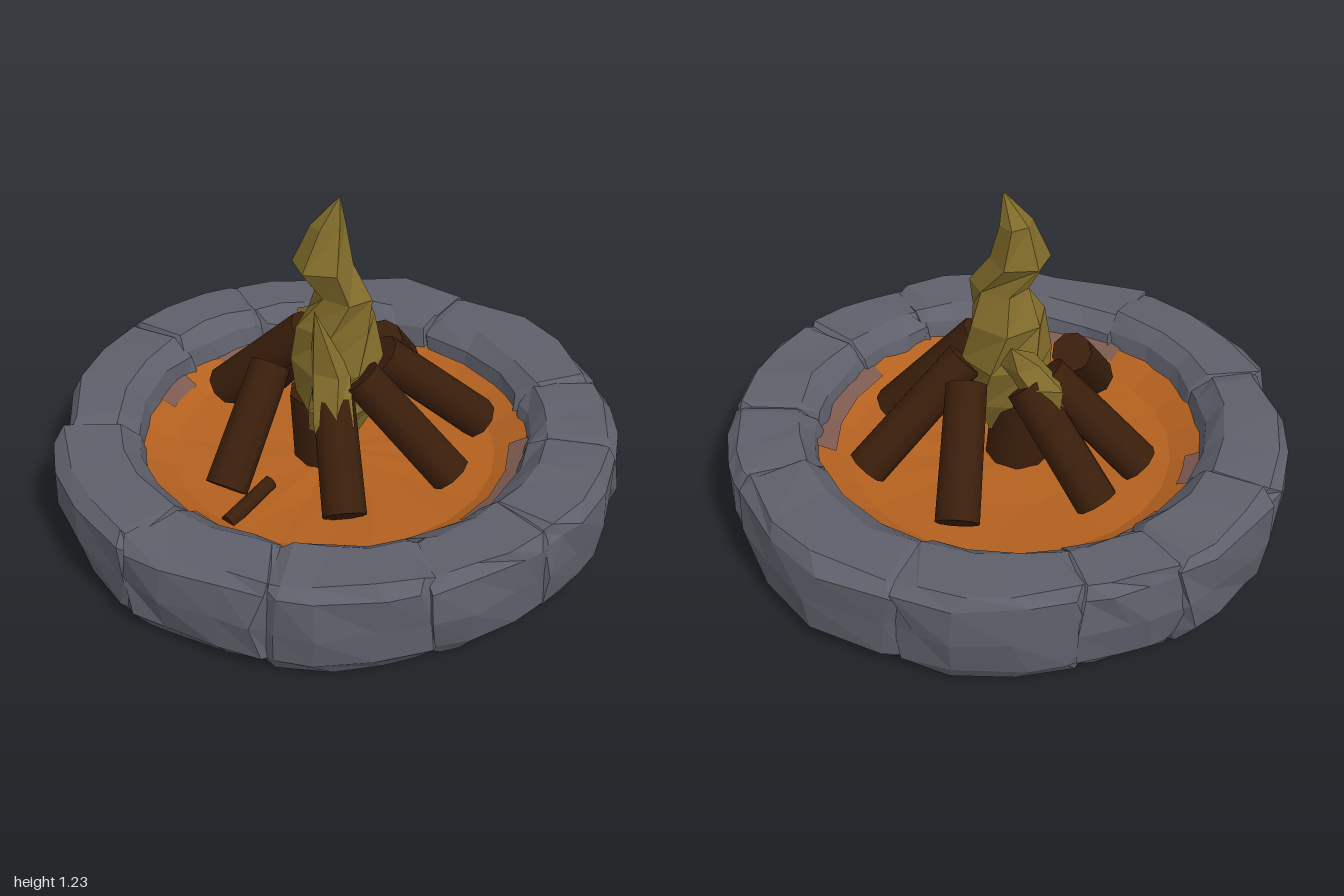
import * as THREE from 'three';

const material = (name, color) => Object.assign(new THREE.MeshStandardMaterial({ color, flatShading: true }), { name });

// Small seeded random number in -1..1
let seed = 7;
const rnd = () => {
  seed = (seed * 16807) % 2147483647;
  return (seed / 2147483647) * 2 - 1;
};

// Skin over closed loops of points (each loop counter-clockwise about the direction of travel), capped at both ends
function loft(loops) {
  const pos = [];
  const tri = (...pts) => pts.forEach((p) => pos.push(p.x, p.y, p.z));
  const n = loops[0].length;
  for (let s = 0; s < loops.length - 1; s++) {
    for (let k = 0; k < n; k++) {
      const a = loops[s][k], b = loops[s][(k + 1) % n];
      const c = loops[s + 1][k], d = loops[s + 1][(k + 1) % n];
      tri(a, b, d);
      tri(a, d, c);
    }
  }
  const cap = (loop, flip) => {
    const mid = loop.reduce((m, p) => m.add(p), new THREE.Vector3()).divideScalar(n);
    for (let k = 0; k < n; k++) {
      const a = loop[k], b = loop[(k + 1) % n];
      flip ? tri(mid, b, a) : tri(mid, a, b);
    }
  };
  cap(loops[0], true);
  cap(loops[loops.length - 1], false);
  const geo = new THREE.BufferGeometry();
  geo.setAttribute('position', new THREE.Float32BufferAttribute(pos, 3));
  geo.computeVertexNormals();
  return geo;
}

// Horizontal loop: [y, centre x, centre z, radius x, radius z]
function ring([y, cx, cz, rx, rz], sides, rough, turn = 0) {
  return Array.from({ length: sides }, (_, i) => {
    const a = (i / sides) * Math.PI * 2 + turn;
    const k = 1 + rnd() * rough;
    return new THREE.Vector3(cx + Math.cos(a) * rx * k, y + rnd() * rough * rx * 0.4, cz - Math.sin(a) * rz * k);
  });
}

// Outer radius of the stone circle: [degrees from +x towards +z, radius]
const OUTLINE = [[0, 1], [15, 0.99], [40, 0.98], [60, 1], [80, 0.98], [105, 1.01], [120, 0.99], [131, 1.01], [139, 1],
  [143, 0.95], [148, 0.98], [174, 1], [186, 1], [211, 0.99], [228, 0.96], [255, 1], [270, 0.98], [284, 1.02],
  [315, 1], [340, 1.01], [360, 1]];
function outerRadius(deg) {
  const d = ((deg % 360) + 360) % 360;
  const i = OUTLINE.findIndex((p) => p[0] > d);
  const [a0, r0] = OUTLINE[i - 1], [a1, r1] = OUTLINE[i];
  return r0 + ((r1 - r0) * (d - a0)) / (a1 - a0);
}

// One curved block of the ring, pinched at both ends
function stoneGeometry(from, to, height) {
  const loops = [0, 0.07, 0.36, 0.66, 0.93, 1].map((u, s) => {
    const pinch = s === 0 || s === 5 ? 0.02 : 0;
    const deg = from - 1 + (to - from + 2) * u;
    const R = outerRadius(deg) - pinch;
    const h = height - pinch;
    const inner = 0.7 + pinch * 0.4;
    const profile = [[R - 0.06, 0], [R - 0.015, 0.06], [R, 0.19], [R - 0.005, h - 0.04], [R - 0.04, h],
      [inner + 0.06, h], [inner, h - 0.05], [0.67, 0.2], [0.67, 0]];
    return profile.map(([r, y]) => {
      const a = THREE.MathUtils.degToRad(deg + (pinch ? 0 : rnd() * 2.5));
      const rr = r + rnd() * 0.012;
      return new THREE.Vector3(Math.cos(a) * rr, y ? y + rnd() * 0.01 : 0, Math.sin(a) * rr);
    });
  });
  return loft(loops);
}

// Thin scorched strip lying on the sloping rim of the earth bed, in steps of 15 degrees
function scorchGeometry(step, count) {
  const geo = new THREE.RingGeometry(0.63, 0.7, count, 1, (step * Math.PI) / 12, (count * Math.PI) / 12);
  geo.rotateX(-Math.PI / 2);
  const p = geo.attributes.position;
  for (let i = 0; i < p.count; i++) {
    const r = Math.hypot(p.getX(i), p.getZ(i));
    p.setY(i, 0.206 + (r - 0.58) * 0.5);
  }
  geo.computeVertexNormals();
  return geo;
}

export function createModel() {
  const model = new THREE.Group();
  model.name = 'campfire';
  const stone = material('stone grey', 0x5e5f6a);
  const sand = material('glowing earth', 0xb4611f);
  const scorch = material('scorched earth', 0x7d5a50);
  const wood = material('dark wood', 0x3a1e0b);
  const fire = material('flame yellow', 0x806b2a);
  wood.flatShading = false;

  const add = (name, geo, mat, parent = model) => {
    const mesh = new THREE.Mesh(geo, mat);
    mesh.name = name;
    parent.add(mesh);
    return mesh;
  };

  // Ring of stones
  const stones = new THREE.Group();
  stones.name = 'stoneRing';
  model.add(stones);
  const seams = [12, 38, 70, 100, 141, 184, 212, 232, 268, 315, 340, 372];
  const heights = [0.355, 0.36, 0.355, 0.36, 0.37, 0.375, 0.365, 0.37, 0.36, 0.35, 0.36];
  heights.forEach((h, i) => add('stone', stoneGeometry(seams[i], seams[i + 1], h), stone, stones));

  // Flat underside
  add('base', new THREE.CircleGeometry(0.8, 32).rotateX(Math.PI / 2), stone);

  // Earth bed, rising towards the stones, with scorched stretches along its rim
  add('earthBed', loft([
    ring([0.08, 0, 0, 0.72, 0.72], 24, 0),
    ring([0.26, 0, 0, 0.7, 0.7], 24, 0),
    ring([0.2, 0, 0, 0.58, 0.58], 24, 0),
    ring([0.18, 0, 0, 0.3, 0.3], 24, 0.06),
  ]), sand);
  [[9, 2], [12, 1], [23, 3], [17, 2]].forEach(([step, count]) => add('scorchedRim', scorchGeometry(step, count), scorch));

  // Leaning logs: foot x, y, z then upper end x, y, z
  const logs = new THREE.Group();
  logs.name = 'logs';
  model.add(logs);
  const addLog = (name, foot, head, radius) => {
    const dir = head.clone().sub(foot);
    const log = add(name, new THREE.CylinderGeometry(radius * 0.94, radius, dir.length(), 9), wood, logs);
    log.position.copy(foot).addScaledVector(dir, 0.5);
    log.quaternion.setFromUnitVectors(new THREE.Vector3(0, 1, 0), dir.normalize());
  };
  const V = (x, y, z) => new THREE.Vector3(x, y, z);
  [
    [-0.04, 0.27, -0.53, 0.08, 0.58, -0.19],
    [0.39, 0.25, -0.37, 0.14, 0.6, -0.08],
    [0.47, 0.25, -0.02, 0.16, 0.6, 0.08],
    [0.28, 0.24, 0.37, 0.05, 0.58, 0.1],
    [-0.14, 0.25, 0.47, -0.17, 0.57, 0.15],
    [-0.49, 0.28, 0, -0.16, 0.61, -0.06],
    [-0.42, 0.25, -0.22, -0.12, 0.6, -0.14],
  ].forEach((p) => addLog('log', V(...p.slice(0, 3)), V(...p.slice(3)), 0.077));

  // Charred stump under the flame and a loose twig in front
  addLog('charredStump', V(-0.02, 0.15, 0.02), V(-0.04, 0.45, 0.03), 0.12);
  addLog('twig', V(-0.06, 0.2, 0.57), V(-0.03, 0.25, 0.36), 0.028);

  // Flame: a twisting main body with two side tongues
  const flame = new THREE.Group();
  flame.name = 'flame';
  model.add(flame);
  const addFlame = (name, sections, sides) =>
    add(name, loft(sections.map((s, i) => ring(s, sides, 0.08, i * 0.3))), fire, flame);
  addFlame('mainFlame', [
    [0.3, 0.02, 0.03, 0.09, 0.1],
    [0.44, 0.03, 0.03, 0.14, 0.15],
    [0.6, 0.025, 0.02, 0.15, 0.16],
    [0.75, 0.02, 0.02, 0.14, 0.13],
    [0.87, 0.055, 0.03, 0.105, 0.085],
    [0.98, -0.01, 0.055, 0.11, 0.11],
    [1.12, -0.005, 0.035, 0.06, 0.07],
    [1.23, 0.04, 0.03, 0, 0],
  ], 6);
  addFlame('frontTongue', [
    [0.4, 0.16, 0.25, 0.06, 0.05],
    [0.48, 0.13, 0.21, 0.08, 0.06],
    [0.62, 0.06, 0.13, 0.08, 0.06],
    [0.86, 0.03, 0.17, 0, 0],
  ], 5);
  addFlame('backTongue', [
    [0.52, -0.2, -0.14, 0.07, 0.045],
    [0.62, -0.16, -0.13, 0.1, 0.06],
    [0.68, -0.09, -0.12, 0.07, 0.07],
    [0.77, -0.08, -0.18, 0, 0],
  ], 5);

  return model;
}
